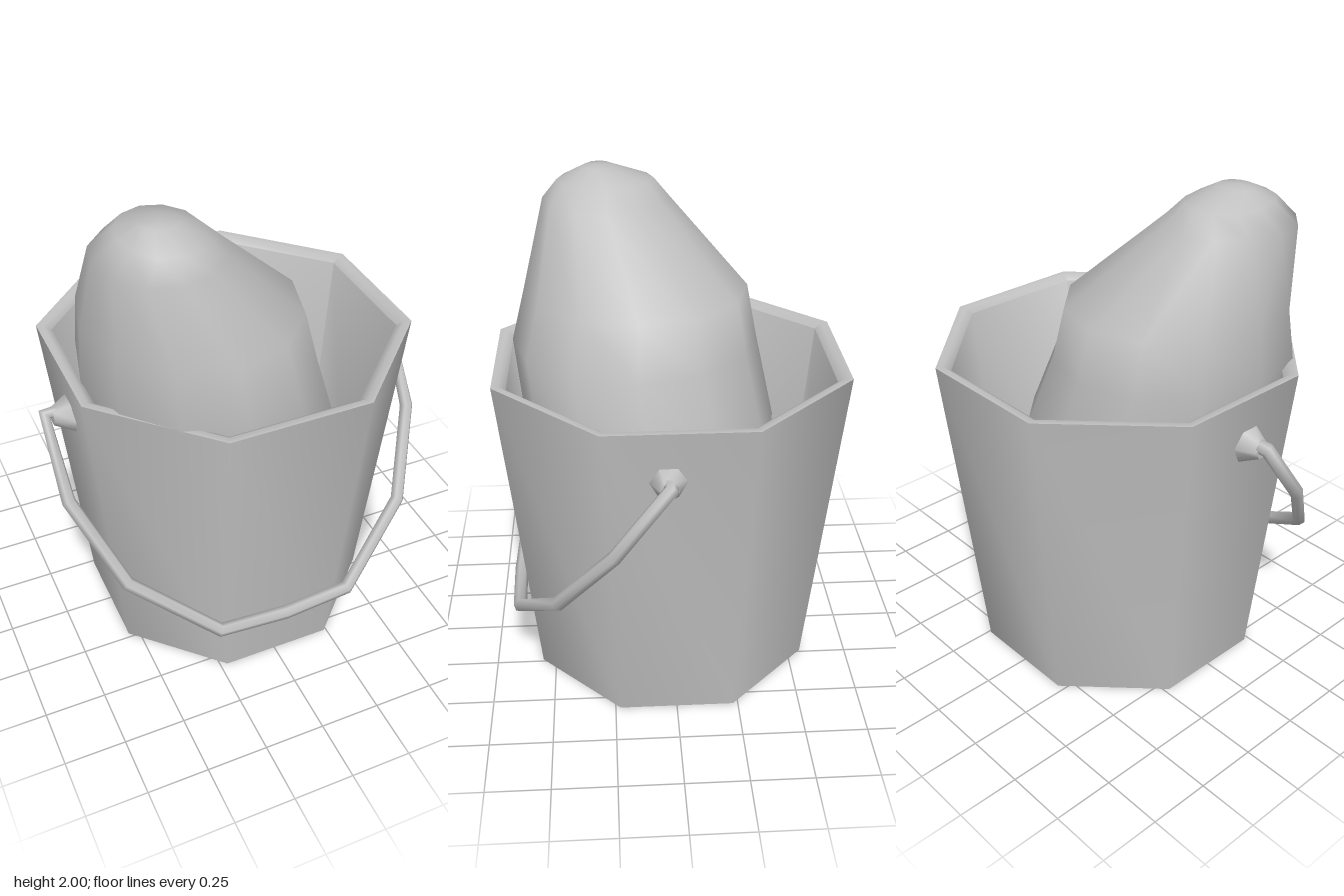
import * as THREE from 'three';
import { mergeVertices, toCreasedNormals } from 'three/addons/utils/BufferGeometryUtils.js';

const grey = new THREE.MeshStandardMaterial({ color: 0xc0c0c0 });
grey.name = 'plain grey';

function part(name, geometry) {
  const mesh = new THREE.Mesh(geometry, grey);
  mesh.name = name;
  return mesh;
}

// Octagonal pail with a thick wall and a narrow rim; radii are to the flats
function pailGeometry() {
  const profile = [
    [0, 0], [0.555, 0], [0.687, 1.33], [0.66, 1.33], [0.632, 1.31], [0.51, 0.06], [0, 0.06],
  ].map(([r, y]) => new THREE.Vector2(r / Math.cos(Math.PI / 8), y));
  const lathe = new THREE.LatheGeometry(profile, 8, Math.PI / 8);
  lathe.translate(0.01, 0, 0);
  return toCreasedNormals(lathe, 0.9);
}

// Leaning boulder from level rings: y, x min, x max, z min, z max
function boulderGeometry() {
  const rings = [
    [0.08, 0.03, 0.03, 0, 0],
    [0.10, -0.22, 0.28, -0.25, 0.25],
    [0.45, -0.44, 0.45, -0.43, 0.44],
    [1.00, -0.59, 0.41, -0.44, 0.59],
    [1.33, -0.63, 0.29, -0.37, 0.63],
    [1.54, -0.615, 0.24, -0.33, 0.575],
    [1.87, -0.59, -0.10, -0.02, 0.49],
    [1.945, -0.49, -0.18, 0.04, 0.43],
    [1.995, -0.42, -0.27, 0.20, 0.32],
    [2.00, -0.35, -0.35, 0.27, 0.27],
  ];
  const g = new THREE.LatheGeometry(rings.map(([y]) => new THREE.Vector2(1, y)), 12);
  const p = g.attributes.position;
  for (let i = 0; i < p.count; i++) {
    const [y, x0, x1, z0, z1] = rings[i % rings.length];
    p.setXYZ(i,
      (x0 + x1) / 2 + p.getX(i) * (x1 - x0) / 2, y,
      (z0 + z1) / 2 + p.getZ(i) * (z1 - z0) / 2);
  }
  g.deleteAttribute('normal');
  g.deleteAttribute('uv');
  const merged = mergeVertices(g);
  merged.computeVertexNormals();
  return merged;
}

// Curve whose samples land on each corner, giving mitred bends
class CornerPath extends THREE.Curve {
  constructor(points) {
    super();
    this.points = points;
  }
  getPointAt(u) {
    return this.points[Math.round(u * (this.points.length - 1))].clone();
  }
  getTangentAt(u) {
    const n = this.points.length - 1, i = Math.round(u * n), p = this.points;
    const t = new THREE.Vector3();
    if (i > 0) t.add(p[i].clone().sub(p[i - 1]).normalize());
    if (i < n) t.add(p[i + 1].clone().sub(p[i]).normalize());
    return t.normalize();
  }
}

// Wire handle hanging forward in a sloping plane
function handleGeometry() {
  const half = [[0.67, 1.14], [0.757, 1.14], [0.75, 0.86], [0.605, 0.56], [0.285, 0.325]];
  const at = (x, y) => new THREE.Vector3(x, y, 0.035 + (1.14 - y) * 0.735);
  const points = [
    ...half.map(([x, y]) => at(-x, y)),
    at(0, 0.312),
    ...half.slice().reverse().map(([x, y]) => at(x, y)),
  ];
  return new THREE.TubeGeometry(new CornerPath(points), points.length - 1, 0.028, 6);
}

export function createModel() {
  const model = new THREE.Group();
  model.name = 'bucketWithBoulder';
  model.add(part('bucket', pailGeometry()));
  model.add(part('boulder', boulderGeometry()));
  model.add(part('handle', handleGeometry()));

  // Tapered six-sided lugs holding the handle
  for (const side of [-1, 1]) {
    const lug = part(side > 0 ? 'leftLug' : 'rightLug',
      toCreasedNormals(new THREE.CylinderGeometry(0.035, 0.085, 0.09, 6), 1.1));
    lug.rotation.z = -side * Math.PI / 2;
    lug.position.set(side * 0.69 + 0.005, 1.125, 0.04);
    model.add(lug);
  }
  return model;
}
